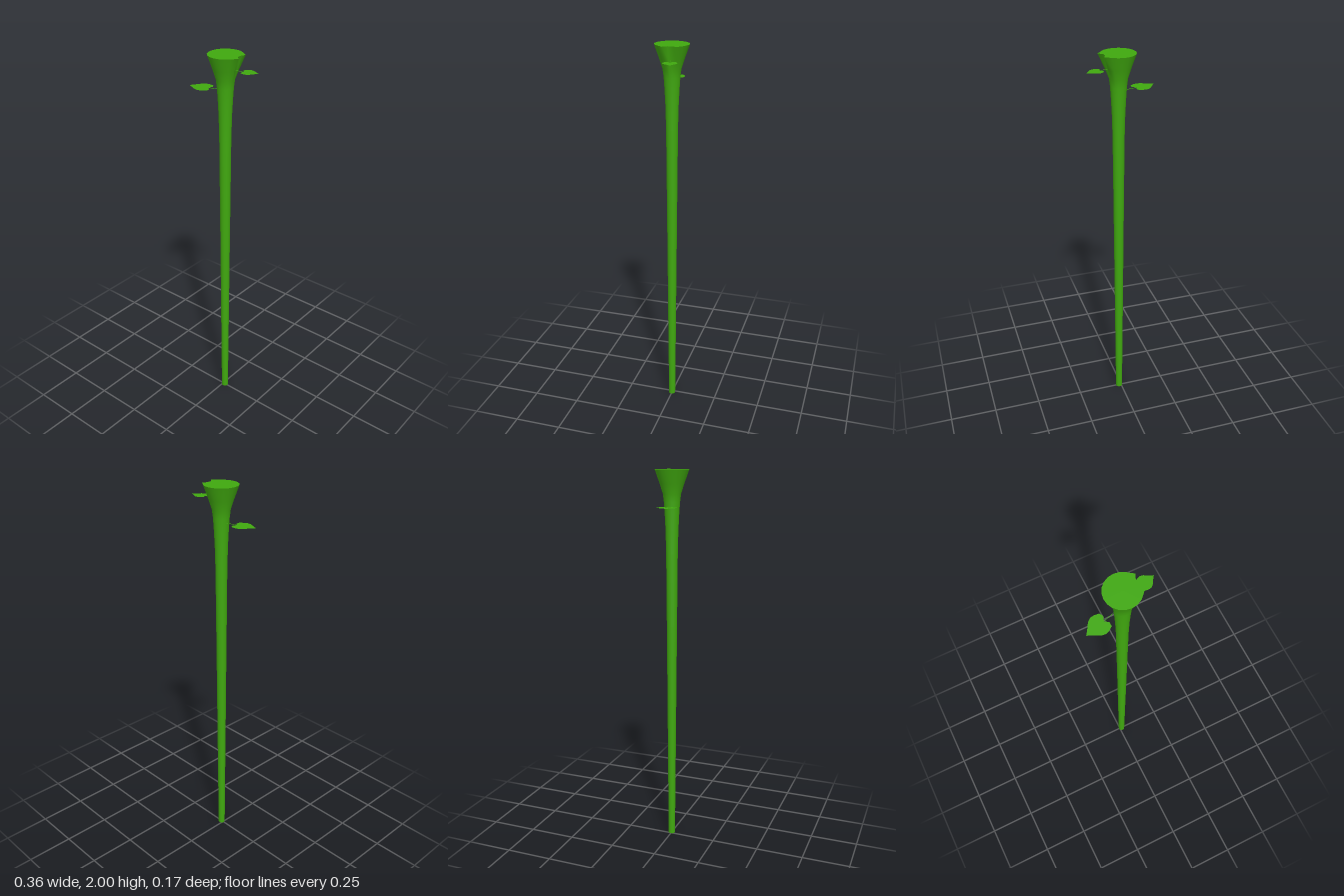
import * as THREE from 'three';
import { mergeVertices } from 'three/addons/utils/BufferGeometryUtils.js';

const SIDES = 20;
const CENTRE_X = 0.012;
const green = new THREE.MeshStandardMaterial({ color: 0x40a80f });
const leafGreen = new THREE.MeshStandardMaterial({ color: 0x40a80f, side: THREE.DoubleSide });

// Small dent in the rim on the +x side, keyed by rim corner number: [dx, dz]
const dent = { '-2': [0.012, 0.004], '-1': [-0.009, 0], 0: [-0.014, 0], 1: [0.012, -0.005] };

// Turned surface with the rim dent fading out below the flare
function turned(name, profile) {
  const geo = new THREE.LatheGeometry(profile.map(([r, y]) => new THREE.Vector2(r, y)), SIDES);
  const p = geo.attributes.position;
  for (let i = 0; i < p.count; i++) {
    const x = p.getX(i), y = p.getY(i), z = p.getZ(i);
    const k = Math.round(Math.atan2(z, x) / (2 * Math.PI / SIDES));
    const fade = THREE.MathUtils.clamp((y - 1.88) / 0.12, 0, 1);
    if (dent[k] && Math.hypot(x, z) > 0.01) {
      p.setX(i, x + dent[k][0] * fade);
      p.setZ(i, z + dent[k][1] * fade);
    }
  }
  geo.deleteAttribute('uv');
  geo.deleteAttribute('normal');
  const welded = mergeVertices(geo, 1e-5);
  welded.computeVertexNormals();
  const mesh = new THREE.Mesh(welded, green);
  mesh.name = name;
  mesh.position.x = CENTRE_X;
  return mesh;
}

// Flat heart outline: notch at the origin, tip at (1, 0)
function heartShape() {
  const half = [[-0.14, 0.2], [-0.09, 0.4], [0.15, 0.49], [0.33, 0.51], [0.53, 0.42], [0.81, 0.16]];
  const outline = [[0, 0], ...half, [1, 0], ...half.map(([x, y]) => [x, -y]).reverse()];
  return new THREE.Shape(outline.map(([x, y]) => new THREE.Vector2(x, y)));
}

// Leaf on a thin stalk; notch and tip are [x, z]
function leaf(name, y, notch, tip) {
  const group = new THREE.Group();
  group.name = name;
  const dx = tip[0] - notch[0], dz = tip[1] - notch[1];
  const length = Math.hypot(dx, dz);
  group.position.set(notch[0], y, notch[1]);
  group.rotation.y = Math.atan2(-dz, dx);

  const blade = new THREE.Mesh(new THREE.ShapeGeometry(heartShape()).rotateX(-Math.PI / 2), leafGreen);
  blade.name = name + 'Blade';
  blade.scale.set(length, 1, length);

  // Stalk runs from inside the stem to just under the blade
  const reach = Math.abs(notch[0] - CENTRE_X) - 0.015;
  const stalkGeo = new THREE.CylinderGeometry(0.0013, 0.0013, reach, 6);
  stalkGeo.rotateZ(Math.PI / 2).translate(-reach / 2 + 0.003, 0, 0);
  const stalk = new THREE.Mesh(stalkGeo, green);
  stalk.name = name + 'Stalk';

  group.add(blade, stalk);
  return group;
}

export function createModel() {
  const model = new THREE.Group();
  model.name = 'plantStem';

  // Long tapering stem that flares into a trumpet-shaped top
  model.add(turned('stem', [
    [0.018, 0], [0.021, 0.4], [0.024, 0.8], [0.027, 1.2], [0.03, 1.58],
    [0.033, 1.7], [0.037, 1.78], [0.041, 1.84], [0.046, 1.88], [0.062, 1.93], [0.087, 2],
  ]));
  model.add(turned('topCap', [[0.087, 2], [0, 2]]));
  model.add(turned('bottomCap', [[0, 0], [0.018, 0]]));

  // Two heart-shaped leaves on opposite sides
  model.add(leaf('rightLeaf', 1.82, [-0.083, 0.013], [-0.18, 0.041]));
  model.add(leaf('leftLeaf', 1.93, [0.109, -0.019], [0.178, -0.038]));
  return model;
}
